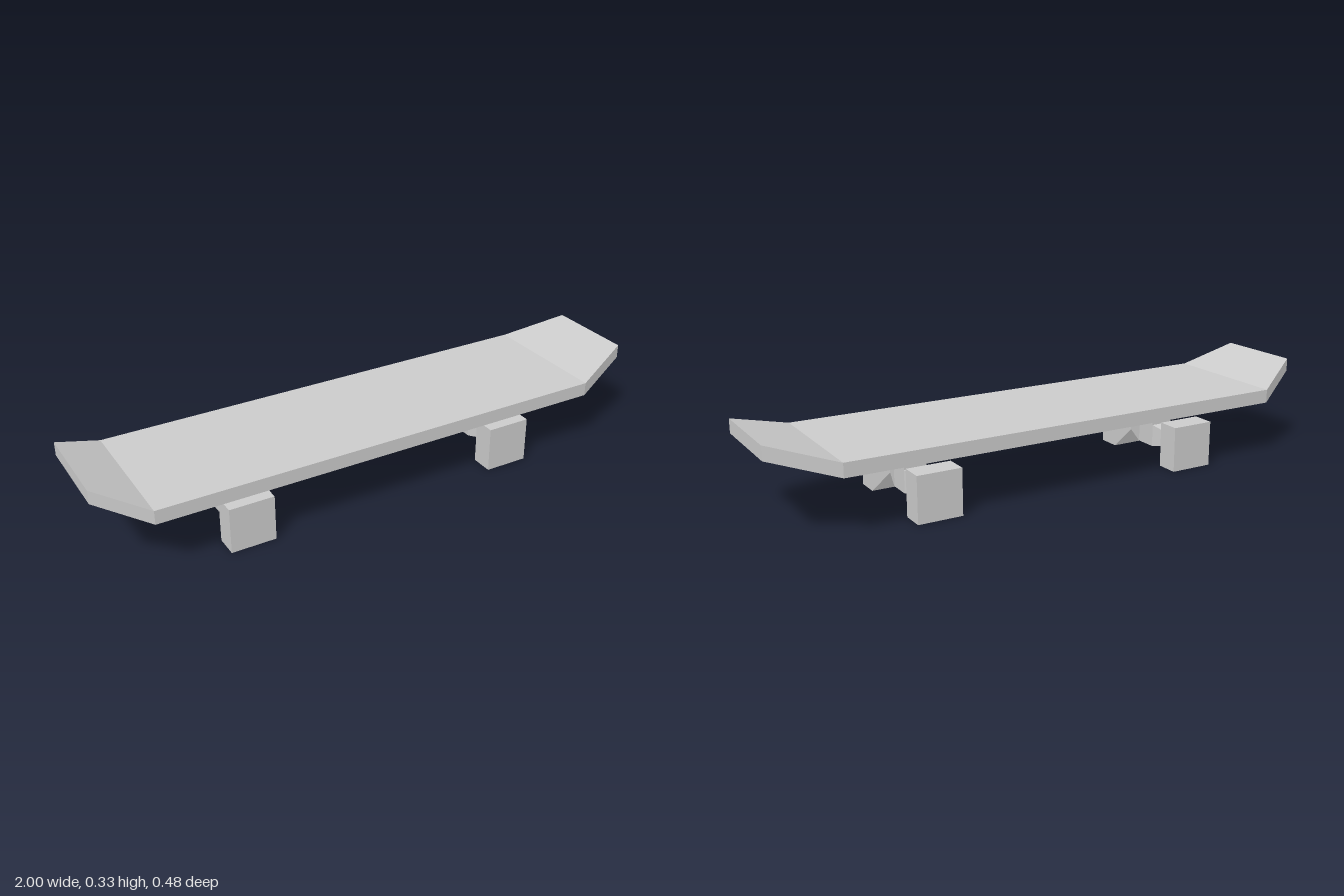
import * as THREE from 'three';

const material = new THREE.MeshStandardMaterial({ color: 0xcccccc, flatShading: true });

// Lofts rectangular sections [z, halfWidth, yBottom, yTop] along +z.
function loft(name, sections, capStart, capEnd) {
  const rings = sections.map(([z, w, y0, y1]) => [[-w, y0, z], [w, y0, z], [w, y1, z], [-w, y1, z]]);
  const pos = [];
  const quad = (a, b, c, d) => pos.push(...a, ...b, ...c, ...a, ...c, ...d);
  for (let s = 0; s < rings.length - 1; s++) {
    for (let i = 0; i < 4; i++) {
      const j = (i + 1) % 4;
      quad(rings[s][i], rings[s][j], rings[s + 1][j], rings[s + 1][i]);
    }
  }
  const first = rings[0], last = rings[rings.length - 1];
  if (capStart) quad(first[0], first[3], first[2], first[1]);
  if (capEnd) quad(last[0], last[1], last[2], last[3]);
  const geometry = new THREE.BufferGeometry();
  geometry.setAttribute('position', new THREE.Float32BufferAttribute(pos, 3));
  geometry.computeVertexNormals();
  const mesh = new THREE.Mesh(geometry, material);
  mesh.name = name;
  return mesh;
}

// One truck: post, tapered axle and a pair of square wheels
function createTruck(x) {
  const truck = new THREE.Group();
  truck.name = 'truck';
  truck.position.x = x;

  const post = new THREE.Mesh(new THREE.BoxGeometry(0.08, 0.08, 0.08), material);
  post.name = 'post';
  post.position.y = 0.16;
  truck.add(post);

  truck.add(loft('axle', [
    [-0.12, 0.02, 0.06, 0.1],
    [-0.04, 0.04, 0.04, 0.12],
    [0.04, 0.04, 0.04, 0.12],
    [0.12, 0.02, 0.06, 0.1],
  ], false, false));

  for (const turn of [0, Math.PI]) {
    const wheel = loft('wheel', [
      [0.12, 0.02, 0.06, 0.1],
      [0.14, 0.078, 0, 0.16],
      [0.22, 0.078, 0, 0.16],
    ], false, true);
    wheel.rotation.y = turn;
    truck.add(wheel);
  }
  return truck;
}

export function createModel() {
  const model = new THREE.Group();
  model.name = 'skateboard';

  // Deck with a raised nose and tail, lofted lengthwise
  const deck = loft('deck', [
    [-1, 0.16, 0.283, 0.329],
    [-0.835, 0.239, 0.201, 0.249],
    [0.787, 0.239, 0.201, 0.249],
    [1, 0.16, 0.267, 0.315],
  ], true, true);
  deck.rotation.y = Math.PI / 2;
  model.add(deck);

  for (const x of [-0.516, 0.47]) model.add(createTruck(x));
  return model;
}
